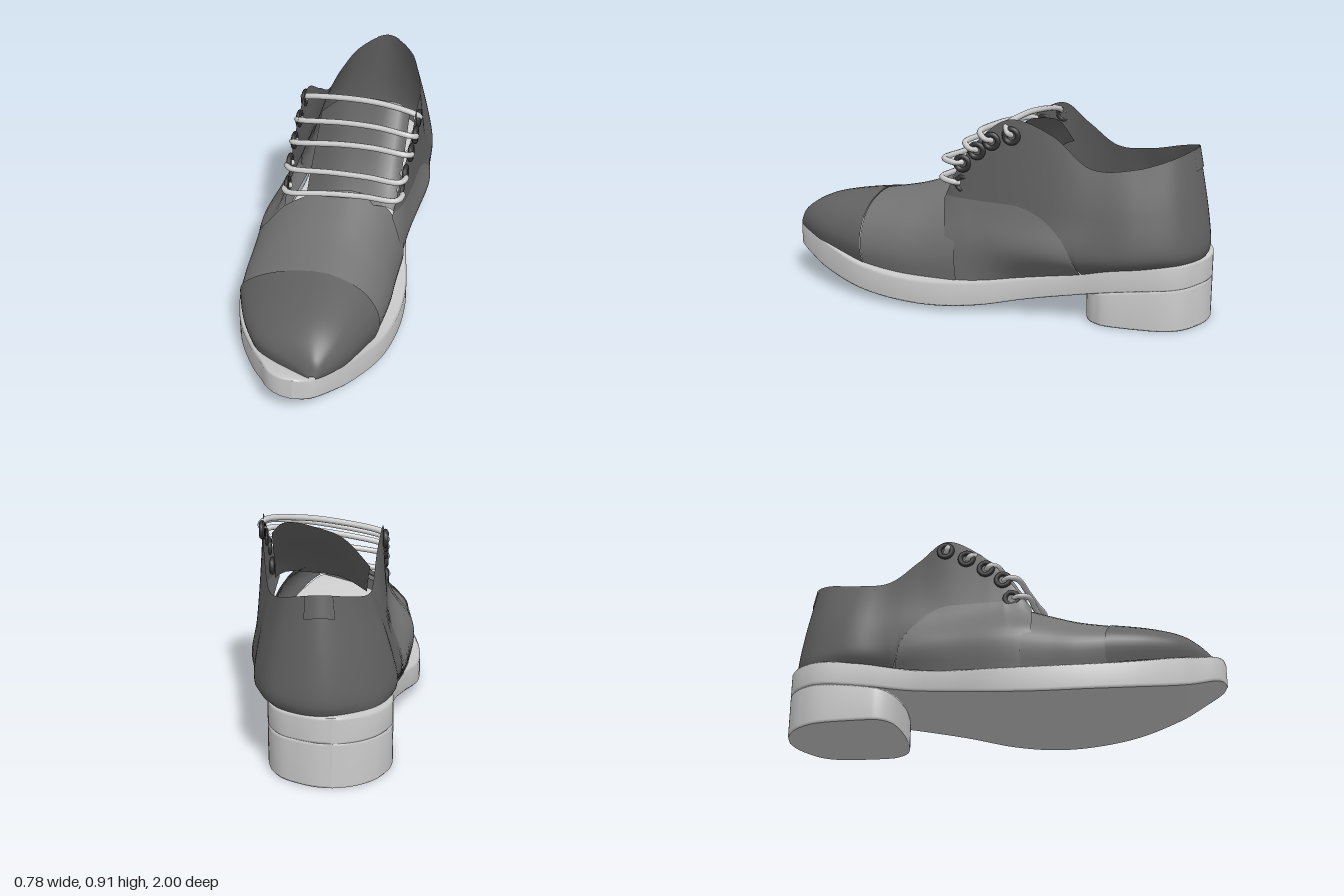
import * as THREE from 'three';

const material = (color, side = THREE.FrontSide) => new THREE.MeshStandardMaterial({ color, side });
const white = material(0xf4f4f4);
const pale = material(0xcccccc);
const leather = material(0x626262, THREE.DoubleSide);
const vampLeather = material(0x747474, THREE.DoubleSide);
const dark = material(0x333333);

// Smooth interpolation between the rows of a station list, t from 0 to 1
function mix(rows, t) {
  const n = rows.length - 1;
  const s = THREE.MathUtils.clamp(t, 0, 1) * n;
  const i = Math.min(Math.floor(s), n - 1), f = s - i;
  const [a, b, c, d] = [-1, 0, 1, 2].map(k => rows[THREE.MathUtils.clamp(i + k, 0, n)]);
  return b.map((p, k) => p + 0.5 * f * (c[k] - a[k] +
    f * (2 * a[k] - 5 * p + 4 * c[k] - d[k] + f * (3 * (p - c[k]) + d[k] - a[k]))));
}

// Grid surface: section(u) returns a row of points
function loft(section, nu) {
  const pos = [], index = [];
  let m = 0;
  for (let i = 0; i <= nu; i++) {
    const row = section(i / nu);
    m = row.length;
    row.forEach(p => pos.push(...p));
  }
  for (let i = 0; i < nu; i++) {
    for (let j = 0; j < m - 1; j++) {
      const a = i * m + j, b = a + m;
      index.push(a, a + 1, b, a + 1, b + 1, b);
    }
  }
  const g = new THREE.BufferGeometry();
  g.setAttribute('position', new THREE.Float32BufferAttribute(pos, 3));
  g.setIndex(index);
  g.computeVertexNormals();
  return g;
}

const steps = (n, fn) => Array.from({ length: n + 1 }, (_, j) => fn(j / n));

// Sole bottom and top heights, every 0.2 from toe to heel
const soleProfile = [[0.155, 0.265], [0.09, 0.22], [0.05, 0.17], [0.03, 0.145], [0.025, 0.14], [0.04, 0.15],
  [0.08, 0.18], [0.12, 0.22], [0.16, 0.27], [0.185, 0.295], [0.195, 0.305]];
const soleY = z => mix(soleProfile, (1 - z) / 2);

// Plan outlines: z, right edge, left edge
const heelEnd = [[-0.6, -0.22, 0.31], [-0.8, -0.21, 0.3], [-0.9, -0.165, 0.26],
  [-0.96, -0.1, 0.18], [-0.99, -0.03, 0.11], [-1, 0.04, 0.04]];
const soleOutline = [[1, 0, 0], [0.985, -0.07, 0.07], [0.95, -0.12, 0.115], [0.88, -0.165, 0.165],
  [0.78, -0.23, 0.225], [0.6, -0.32, 0.31], [0.4, -0.375, 0.355], [0.2, -0.39, 0.363], [0, -0.37, 0.335],
  [-0.2, -0.3, 0.305], [-0.4, -0.24, 0.3], ...heelEnd];
const heelOutline = [[-0.455, 0.04, 0.04], [-0.463, -0.08, 0.16], [-0.485, -0.165, 0.245], [-0.53, -0.21, 0.29], ...heelEnd];

// Slab with softened edges, following a plan outline
const slab = (outline, heights) => loft(u => {
  const [z, l, r] = mix(outline, u), [b, t] = heights(z);
  const e = Math.min(0.01, Math.max(0, r - l) * 0.3);
  return [[l + e, b], [l, b + e], [l, t - e], [l + e, t], [r - e, t], [r, t - e], [r, b + e], [r - e, b], [l + e, b]]
    .map(([x, y]) => [x, y, z]);
}, 120);

// Arched section of the forefoot: sideways fraction, height fraction
const arch = [[-0.93, 0], [-1, 0.28], [-0.9, 0.5], [-0.57, 0.75], [-0.15, 0.93], [0.3, 1],
  [0.72, 0.86], [0.94, 0.58], [1, 0.28], [0.93, 0]];
// Forefoot stations: z, right, left, base, crest, seam slant
const capRows = [[0.972, 0.065, 0.095, 0.262, 0.275, 0], [0.945, 0.01, 0.125, 0.255, 0.335, 0],
  [0.88, -0.11, 0.176, 0.236, 0.385, 0], [0.8, -0.21, 0.22, 0.213, 0.42, 0],
  [0.7, -0.29, 0.26, 0.19, 0.446, 0.07], [0.58, -0.35, 0.302, 0.16, 0.468, 0.16]];
const vampRows = [[0.58, -0.347, 0.298, 0.155, 0.464, 0.16], [0.4, -0.355, 0.32, 0.135, 0.5, 0.09],
  [0.25, -0.352, 0.325, 0.13, 0.545, 0.03], [0.11, -0.35, 0.335, 0.135, 0.595, 0]];
const forefoot = rows => loft(u => {
  const [z, l, r, b, t, slant] = mix(rows, u);
  return steps(36, v => {
    const [a, h] = mix(arch, v);
    const x = (l + r) / 2 + a * (r - l) / 2;
    return [x, b + h * (t - b), z + slant * (x - 0.29)];
  });
}, 28);

// Wall stations from left front round the heel to right front:
// foot x, z; ankle x, z; collar x, y, z; how far the wall has leaned in at the instep
const wallRows = [
  [0.3, 0.16, 0.322, 0.16, 0.283, 0.515, 0.17, 0.3], [0.305, 0.08, 0.335, 0.08, 0.305, 0.66, 0.1, 0.3],
  [0.295, -0.02, 0.345, -0.02, 0.328, 0.79, 0.01, 0.4], [0.275, -0.17, 0.365, -0.17, 0.338, 0.91, -0.15, 0.4],
  [0.285, -0.36, 0.385, -0.36, 0.33, 0.85, -0.34, 0.4], [0.305, -0.52, 0.37, -0.52, 0.31, 0.715, -0.5, 0.35],
  [0.305, -0.72, 0.355, -0.72, 0.28, 0.715, -0.68, 0.35], [0.24, -0.89, 0.275, -0.9, 0.22, 0.76, -0.84, 0.35],
  [0.08, -0.97, 0.085, -0.993, 0.09, 0.795, -0.925, 0.3],
  [-0.12, -0.885, -0.11, -0.9, -0.04, 0.76, -0.84, 0.35], [-0.205, -0.72, -0.222, -0.72, -0.11, 0.715, -0.68, 0.35],
  [-0.225, -0.52, -0.25, -0.52, -0.135, 0.71, -0.52, 0.45], [-0.26, -0.36, -0.293, -0.36, -0.155, 0.8, -0.38, 0.6],
  [-0.295, -0.17, -0.32, -0.17, -0.185, 0.88, -0.24, 0.75], [-0.32, -0.02, -0.342, -0.02, -0.2, 0.77, -0.06, 0.8],
  [-0.325, 0.08, -0.345, 0.08, -0.205, 0.64, 0.05, 0.75], [-0.325, 0.16, -0.336, 0.16, -0.21, 0.5, 0.15, 0.45]];

// One upright strip of the wall, between the heights chosen by range(base, seam, collar)
function wallStrip(u, range, n, out = 0) {
  const [fx, fz, ax, az, cx, cy, cz, lean] = mix(wallRows, u);
  const base = soleY(fz)[1] - 0.008, ankle = Math.max(0.32, base + 0.06);
  const upright = [[fx, base, fz], [ax, ankle, az],
    [ax + (cx - ax) * lean, ankle + Math.min(0.18, (cy - ankle) * 0.5), az + (cz - az) * lean], [cx, cy, cz]];
  const drop = Math.min(1, Math.max(0, (-0.15 - az) / 0.31));
  const seam = drop < 1 ? Math.min(cy, 0.2 + 0.335 * Math.sqrt(1 - drop * drop)) : base;
  const [lo, hi] = range(base, Math.max(base, seam), cy);
  return steps(n, v => {
    // Halve the interval until the upright reaches the wanted height
    const y = hi + (lo - hi) * v;
    let s = 0.5;
    for (let step = 0.25; step > 1e-5; step /= 2) s += mix(upright, s)[1] < y ? step : -step;
    const [x, , z] = mix(upright, s);
    return [x, y, z - out];
  });
}

export function createModel() {
  const shoe = new THREE.Group();
  shoe.name = 'shoe';
  const add = (name, geometry, mat) => {
    const mesh = new THREE.Mesh(geometry, mat);
    mesh.name = name;
    shoe.add(mesh);
    return mesh;
  };

  // Sole and heel
  add('sole', slab(soleOutline, soleY), white);
  add('heel', slab(heelOutline, z => [0, soleY(z)[0]]), white);

  // Upper
  add('toeCap', forefoot(capRows), leather);
  add('vamp', forefoot(vampRows), vampLeather);
  // The flanks stop where the seam meets the sole on each side
  add('leftFlank', loft(u => wallStrip(u * 0.29, (b, s) => [b, s], 14), 48), vampLeather);
  add('rightFlank', loft(u => wallStrip(1 - u * 0.29, (b, s) => [b, s], 14).reverse(), 48), vampLeather);
  add('quarters', loft(u => wallStrip(u, (b, s, c) => [s, c], 18), 160), leather);
  add('heelTab', loft(u => wallStrip(0.475 + u * 0.05, (b, s, c) => [c - 0.09, c], 4, 0.005), 8), leather);

  // Tongue, higher on its left and leaning back
  const tongueSpine = [[0.14, 0.55], [0.05, 0.66], [-0.1, 0.79], [-0.2, 0.885]];
  const tongueArch = [[-0.13, -0.17], [-0.02, -0.055], [0.1, -0.015], [0.24, 0], [0.3, -0.05]];
  add('tongue', loft(u => {
    const [z, y] = mix(tongueSpine, u);
    return steps(14, v => {
      const [x, d] = mix(tongueArch, v);
      return [x, y + d * (0.6 + 0.4 * u), z - 0.35 * u * Math.max(0, 0.2 - x)];
    });
  }, 14), leather);

  // Eyelets and laces: left z, y; right z, y; lace forward, lace rise
  const lacing = [
    [0.07, 0.6, 0.06, 0.55, 0.105, 0.02], [0.07, 0.695, 0.02, 0.65, 0.09, 0.015],
    [0, 0.76, -0.06, 0.715, 0.06, 0.035], [-0.07, 0.81, -0.15, 0.775, 0.06, 0.04],
    [-0.16, 0.84, -0.25, 0.825, 0.03, 0.05]];
  const ring = new THREE.TorusGeometry(0.03, 0.012, 8, 20).rotateY(Math.PI / 2);
  lacing.forEach(([lz, ly, rz, ry, forward, rise], i) => {
    const lx = Math.min(0.345, 0.312 + i * 0.012), rx = -0.217 + i * 0.005;
    add('leftEyelet', ring, dark).position.set(lx, ly, lz);
    add('rightEyelet', ring, dark).position.set(rx, ry, rz);
    const across = (f, lift) => new THREE.Vector3(lx + (rx - lx) * f, ly + (ry - ly) * f + rise * lift,
      lz + (rz - lz) * f + forward * (1 - 0.35 * f));
    const path = new THREE.CatmullRomCurve3([
      new THREE.Vector3(lx - 0.015, ly, lz), new THREE.Vector3(lx + 0.008, ly + rise * 0.3, lz + forward * 0.45),
      across(0.03, 0.8), across(0.3, 1.2), across(0.6, 1.1), across(0.97, 0.5),
      new THREE.Vector3(rx - 0.008, ry + rise * 0.2, rz + forward * 0.3), new THREE.Vector3(rx + 0.015, ry, rz)]);
    add('lace', new THREE.TubeGeometry(path, 60, 0.0135, 8), pale);
  });
  return shoe;
}
